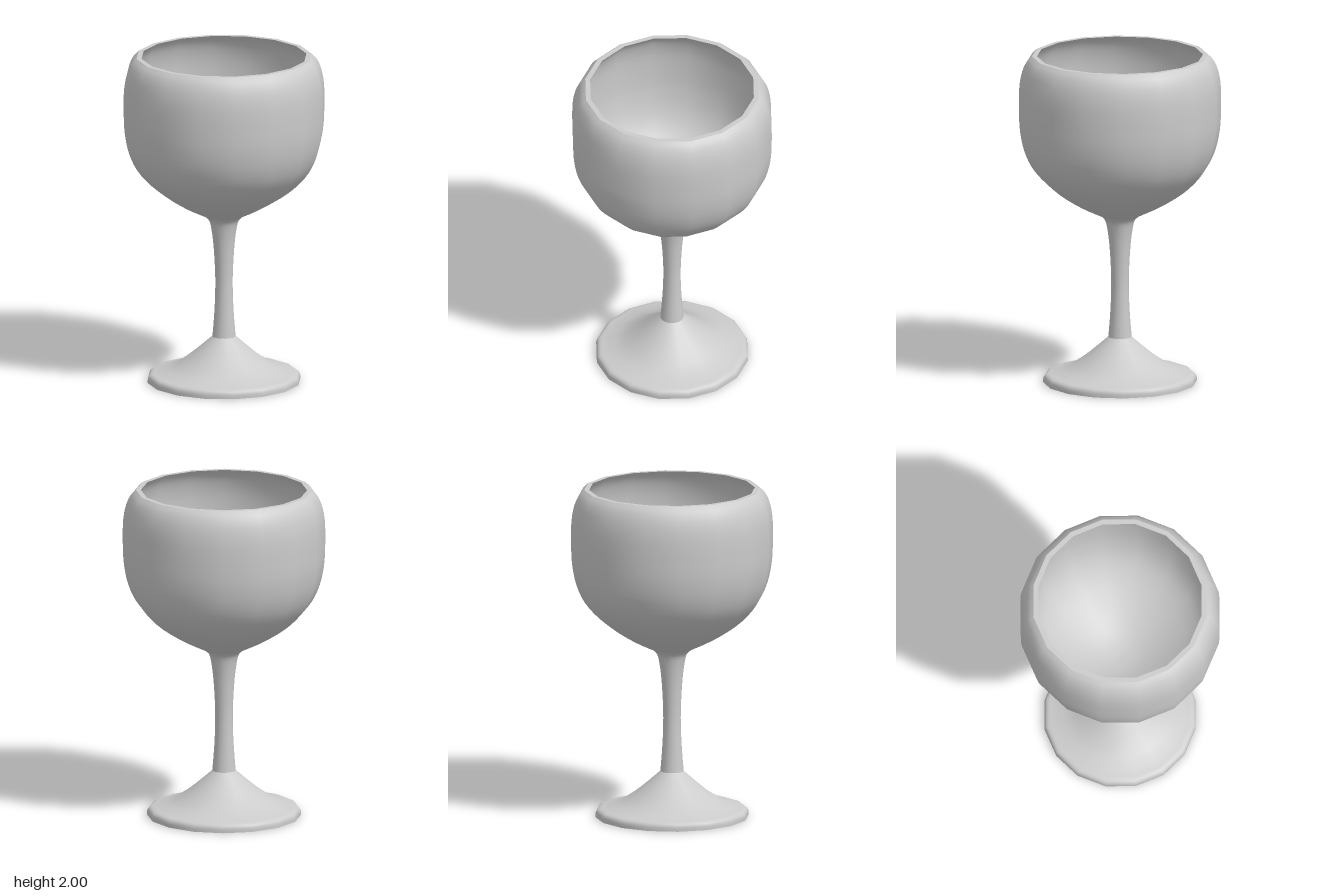
import * as THREE from 'three';

const SIDES = 16;

// Revolves a profile of [radius, height] pairs; samples > 0 smooths it with a spline
function turned(name, profile, samples = 0) {
  let points = profile.map(([r, y]) => new THREE.Vector2(r, y));
  if (samples) {
    points = new THREE.SplineCurve(points).getPoints(samples);
    points.forEach((p) => { p.x = Math.max(p.x, 0); });
  }
  const material = new THREE.MeshStandardMaterial({ color: 0xcccccc });
  const mesh = new THREE.Mesh(new THREE.LatheGeometry(points, SIDES), material);
  mesh.name = name;
  return mesh;
}

export function createModel() {
  const goblet = new THREE.Group();
  goblet.name = 'goblet';

  // Flat underside, then the foot sweeping up to the stem
  goblet.add(turned('footUnderside', [[0, 0], [0.46, 0]]));
  goblet.add(turned('foot', [
    [0.46, 0], [0.458, 0.03], [0.44, 0.05], [0.39, 0.062], [0.31, 0.09],
    [0.23, 0.14], [0.15, 0.205], [0.07, 0.275],
  ], 24));

  // Waisted stem flaring into the bowl
  goblet.add(turned('stem', [
    [0.07, 0.275], [0.06, 0.4], [0.054, 0.52], [0.053, 0.65], [0.062, 0.82],
    [0.075, 0.93], [0.09, 0.99], [0.12, 1.02],
  ], 24));

  // Rounded bowl, narrowing toward the rim
  goblet.add(turned('bowlOutside', [
    [0.12, 1.02], [0.26, 1.09], [0.41, 1.19], [0.515, 1.3], [0.57, 1.41],
    [0.597, 1.53], [0.605, 1.65], [0.604, 1.8], [0.588, 1.9], [0.56, 1.965], [0.527, 2],
  ], 32));
  goblet.add(turned('rim', [[0.527, 2], [0.497, 2]]));

  // Hollow interior following the outer wall
  goblet.add(turned('bowlInside', [
    [0.497, 2], [0.535, 1.95], [0.56, 1.88], [0.573, 1.79], [0.574, 1.65],
    [0.566, 1.54], [0.54, 1.42], [0.487, 1.315], [0.39, 1.215], [0.245, 1.118],
    [0.11, 1.06], [0, 1.045],
  ], 32));

  return goblet;
}
